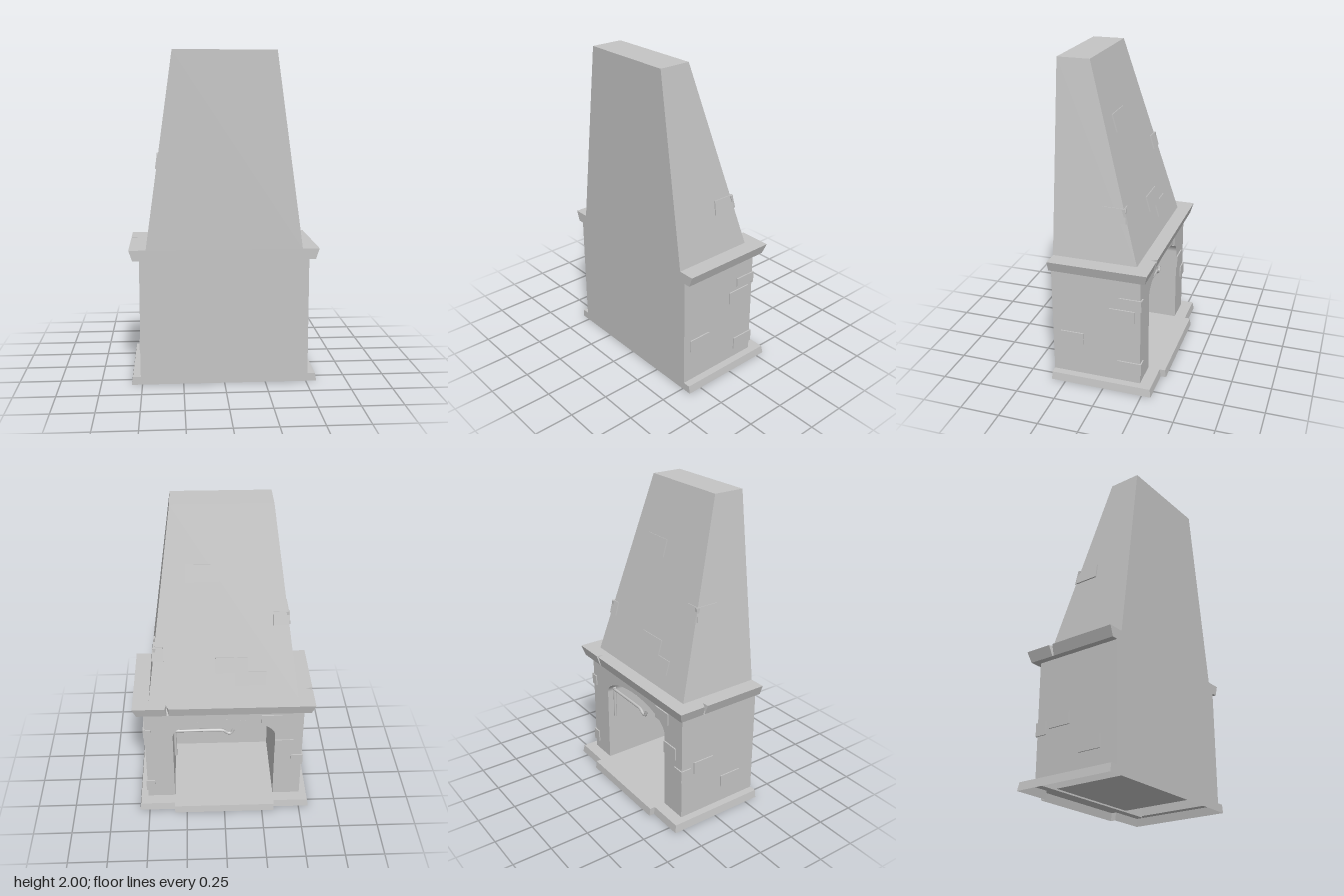
import * as THREE from 'three';

const BACK = 0.34;    // flat wall side
const FRONT = -0.225; // face with the fire opening
const FIRE_BACK = 0.3;
const HALF = 0.33;    // half width of the fire opening
const SPRING = 0.56, RISE = 0.135;

export function createModel() {
  const model = new THREE.Group();
  const stone = new THREE.MeshStandardMaterial({ color: 0xc4c4c4, side: THREE.DoubleSide });
  stone.name = 'grey stone';

  const add = (name, geometry, parent = model) => {
    const mesh = new THREE.Mesh(geometry, stone);
    mesh.name = name;
    parent.add(mesh);
    return mesh;
  };

  // Flat-sided surface between two matching outlines of [x, z] points.
  const loft = (a, ya, b, yb, closed = true) => {
    const pos = [];
    const n = a.length;
    for (let i = 0; i < (closed ? n : n - 1); i++) {
      const j = (i + 1) % n;
      const A = [a[i][0], ya, a[i][1]], B = [a[j][0], ya, a[j][1]];
      const C = [b[j][0], yb, b[j][1]], D = [b[i][0], yb, b[i][1]];
      pos.push(...A, ...C, ...B, ...A, ...D, ...C);
    }
    const g = new THREE.BufferGeometry();
    g.setAttribute('position', new THREE.Float32BufferAttribute(pos, 3));
    g.computeVertexNormals();
    return g;
  };

  // Horizontal face from an [x, z] outline, facing up or down.
  const cap = (outline, y, up = true) => {
    const s = up ? -1 : 1;
    const shape = new THREE.Shape(outline.map(([x, z]) => new THREE.Vector2(x, s * z)));
    return new THREE.ShapeGeometry(shape).rotateX(s * Math.PI / 2).translate(0, y, 0);
  };

  // Outlines run from the back left corner round the front and to the back right.
  const rect = (x, front) => [[-x, BACK], [-x, front], [x, front], [x, BACK]];
  const stepped = (x, front, mid) => [
    [-x, BACK], [-x, front], [-HALF, front], [-HALF, mid],
    [HALF, mid], [HALF, front], [x, front], [x, BACK]];

  // Hearth base: an open skirt with a ledge around the body
  const baseTop = stepped(0.557, -0.3, -0.335);
  add('baseSkirt', loft(stepped(0.565, -0.308, -0.342), 0, baseTop, 0.05));
  add('baseLedge', cap([...baseTop, [0.51, BACK], [0.51, FRONT], [-0.51, FRONT], [-0.51, BACK]], 0.05));

  // Body walls, with an arched opening in the front
  const opening = (path) => {
    path.moveTo(-HALF, 0.05);
    path.lineTo(HALF, 0.05);
    path.lineTo(HALF, SPRING);
    path.absellipse(0, SPRING, HALF, RISE, 0, Math.PI, false);
    path.lineTo(-HALF, 0.05);
    return path;
  };
  const body = rect(0.51, FRONT);
  add('sideWallRight', loft(body.slice(0, 2), 0.05, body.slice(0, 2), 0.765, false));
  add('sideWallLeft', loft(body.slice(2), 0.05, body.slice(2), 0.765, false));
  const backEdge = [[0.51, BACK], [-0.51, BACK]];
  add('backWall', loft(backEdge, 0.05, backEdge, 0.765, false));
  const face = new THREE.Shape();
  face.moveTo(-0.51, 0.04);
  face.lineTo(-0.51, 0.765);
  face.lineTo(0.51, 0.765);
  face.lineTo(0.51, 0.04);
  face.lineTo(-0.51, 0.04);
  face.holes.push(opening(new THREE.Path()));
  add('openingWall', new THREE.ShapeGeometry(face, 24).rotateY(Math.PI).translate(0, 0, FRONT));

  // Firebox: floor, jambs, back and barrel vault
  const depth = FIRE_BACK - FRONT;
  add('fireboxFloor', cap([[-HALF, FRONT], [HALF, FRONT], [HALF, FIRE_BACK], [-HALF, FIRE_BACK]], 0.05));
  for (const s of [-1, 1]) {
    const edge = [[s * HALF, FRONT], [s * HALF, FIRE_BACK]];
    if (s < 0) edge.reverse();
    add('fireboxJamb', loft(edge, 0.05, edge, SPRING, false));
  }
  add('fireboxBack', new THREE.ShapeGeometry(opening(new THREE.Shape()), 24)
    .rotateY(Math.PI).translate(0, 0, FIRE_BACK));
  add('fireboxVault', new THREE.CylinderGeometry(1, 1, depth, 32, 1, true, -Math.PI / 2, Math.PI)
    .rotateX(-Math.PI / 2).scale(HALF, RISE, 1).translate(0, SPRING, (FRONT + FIRE_BACK) / 2));

  // Mantel shelf with two chipped edges
  const shelfLow = [[-0.55, BACK], [-0.55, -0.09], [-0.55, -0.1], [-0.55, -0.11], [-0.55, -0.262],
    [0.345, -0.262], [0.36, -0.262], [0.37, -0.262], [0.55, -0.262], [0.55, BACK]];
  const shelfTop = [[-0.572, BACK], [-0.572, -0.085], [-0.53, -0.09], [-0.572, -0.11], [-0.572, -0.28],
    [0.345, -0.28], [0.362, -0.238], [0.37, -0.28], [0.572, -0.28], [0.572, BACK]];
  add('mantelEdge', loft(shelfLow, 0.765, shelfTop, 0.83));
  add('mantelTop', cap(shelfTop, 0.83));
  add('mantelUnderside', cap(rect(0.55, -0.262), 0.765, false));

  // Tapered hood
  const hoodTop = rect(0.305, 0.14);
  add('hood', loft(rect(0.47, -0.19), 0.83, hoodTop, 2));
  add('hoodTop', cap(hoodTop, 2));

  // Raised bricks
  const bricks = new THREE.Group();
  bricks.name = 'raisedBricks';
  model.add(bricks);
  const T = 0.016;
  const hoodFront = (y) => -0.19 + 0.33 * (y - 0.83) / 1.17;
  const hoodSide = (y) => 0.47 - 0.165 * (y - 0.83) / 1.17;
  const frontTilt = Math.atan(0.33 / 1.17), sideTilt = Math.atan(0.165 / 1.17);

  // On the front: x range, centre y, height
  const frontBrick = (x0, x1, y, h) => {
    const onHood = y > 0.83;
    const m = add('frontBrick', new THREE.BoxGeometry(x1 - x0, h, T), bricks);
    m.position.set((x0 + x1) / 2, y, onHood ? hoodFront(y) : FRONT);
    if (onHood) m.rotation.x = frontTilt;
  };
  // On a side (s = 1 or -1): z range, centre y, height
  const sideBrick = (s, z0, z1, y, h) => {
    const onHood = y > 0.83;
    const m = add('sideBrick', new THREE.BoxGeometry(T, h, z1 - z0), bricks);
    m.position.set(s * (onHood ? hoodSide(y) : 0.51), y, (z0 + z1) / 2);
    if (onHood) m.rotation.z = s * sideTilt;
  };
  [
    [-0.265, -0.07, 0.965, 0.09], [-0.15, 0.05, 1.05, 0.1], [0.02, 0.22, 1.61, 0.11],
    [0.37, 0.437, 1.125, 0.09], [-0.405, -0.305, 1.335, 0.09],
    [-0.37, -0.24, 0.685, 0.08], [-0.45, -0.33, 0.48, 0.08], [-0.517, -0.44, 0.35, 0.08],
    [0.47, 0.517, 0.59, 0.07], [0.46, 0.517, 0.15, 0.08],
  ].forEach((b) => frontBrick(...b));
  [
    [1, -0.11, 0.035, 1.125, 0.09], [-1, -0.05, 0.1, 1.335, 0.09],
    [1, -0.232, -0.09, 0.6, 0.06], [1, -0.19, -0.03, 0.51, 0.08],
    [1, 0.14, 0.29, 0.3, 0.08], [1, -0.232, -0.08, 0.15, 0.08],
    [-1, -0.135, 0.01, 0.38, 0.08], [-1, 0.08, 0.23, 0.2, 0.08], [-1, -0.232, -0.16, 0.35, 0.08],
  ].forEach((b) => sideBrick(...b));

  // Pot crane: upright on the left jamb and an arm ending in a hook
  const crane = new THREE.Group();
  crane.name = 'potCrane';
  model.add(crane);
  add('craneUpright', new THREE.CylinderGeometry(0.01, 0.01, 0.22, 8), crane).position.set(0.315, 0.48, -0.18);
  const arm = new THREE.CatmullRomCurve3([
    [0.325, 0.575], [0.2, 0.575], [0.06, 0.575], [0, 0.57], [-0.025, 0.55], [-0.05, 0.55], [-0.06, 0.575],
  ].map(([x, y]) => new THREE.Vector3(x, y, -0.18)));
  add('craneArm', new THREE.TubeGeometry(arm, 32, 0.01, 8), crane);

  return model;
}
